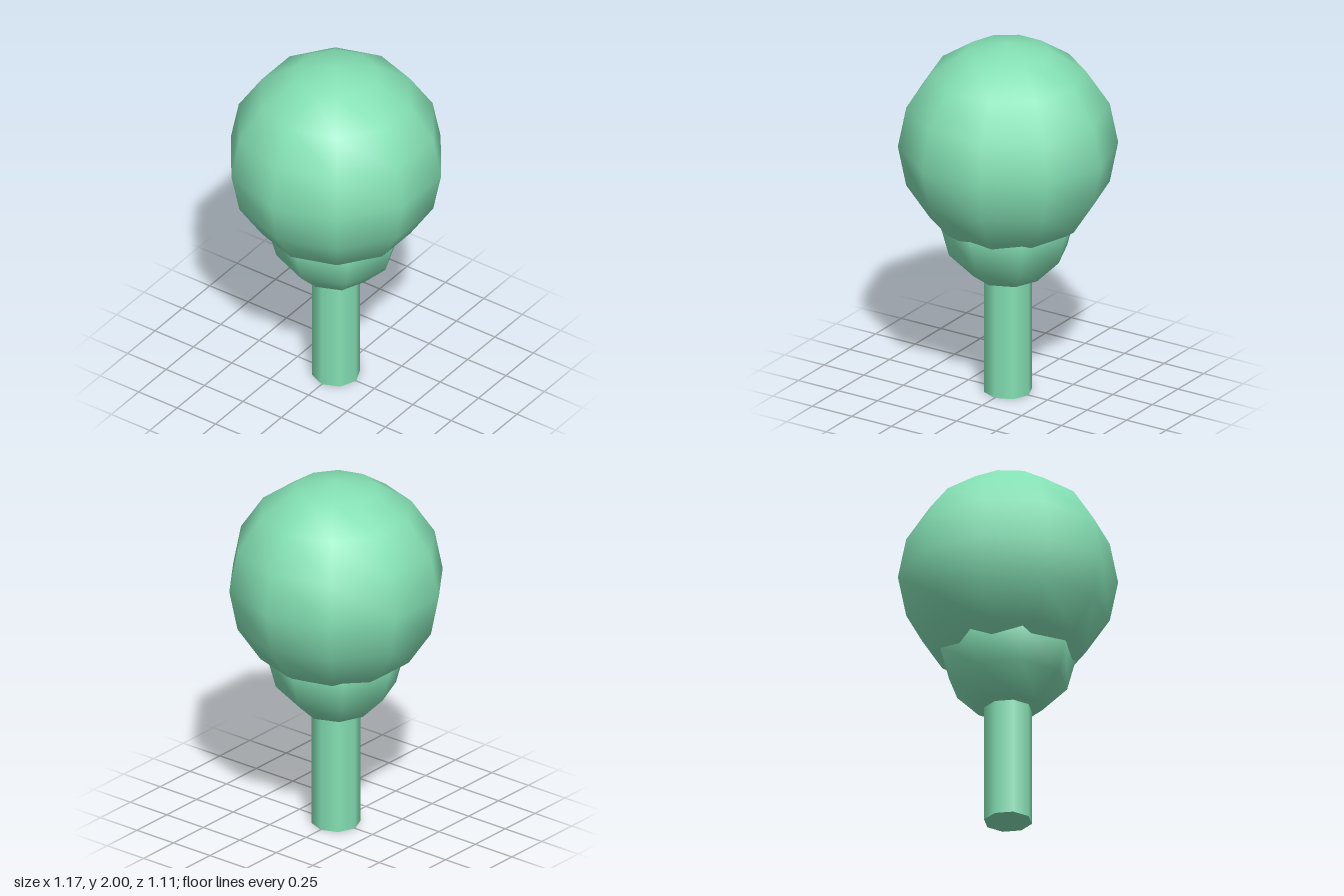
import * as THREE from 'three';

export function createModel() {
  const model = new THREE.Group();
  const leafGreen = new THREE.MeshStandardMaterial({ color: 0x84e0b4 });

  function addPart(name, geometry, y) {
    const mesh = new THREE.Mesh(geometry, leafGreen);
    mesh.name = name;
    mesh.position.y = y;
    model.add(mesh);
  }

  // Eight-sided trunk, its top sunk into the lower foliage
  addPart('trunk', new THREE.CylinderGeometry(0.13, 0.13, 0.72, 8), 0.36);

  // Small ball of foliage, overlapped by the large crown
  addPart('lowerFoliage', new THREE.SphereGeometry(0.37, 8, 6), 0.99);
  addPart('crown', new THREE.SphereGeometry(0.585, 10, 8), 1.415);

  return model;
}
